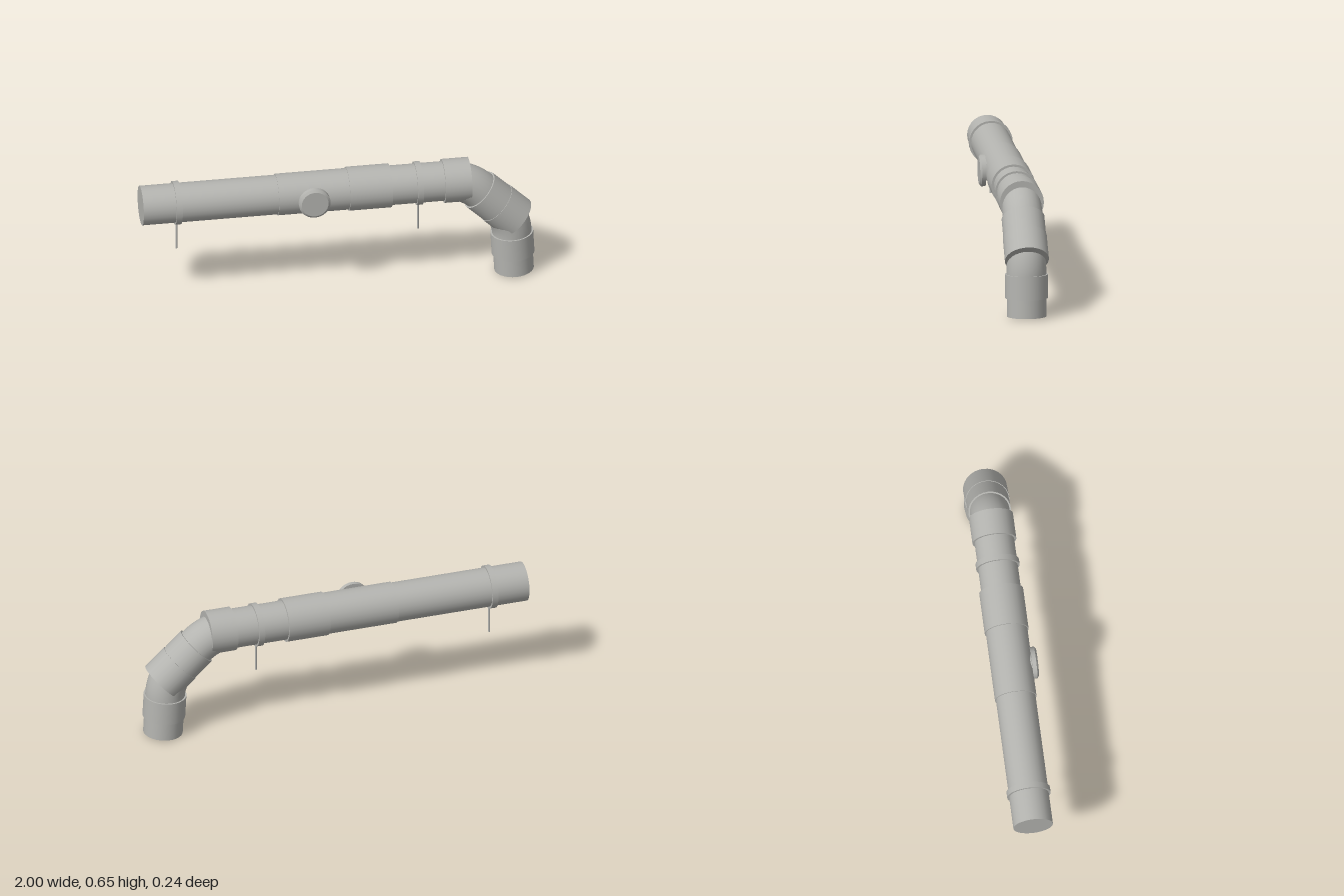
import * as THREE from 'three';

const SIDES = 28;
const PIPE_R = 0.1;
const BEND_R = 0.25;
const BEND_ANGLE = THREE.MathUtils.degToRad(43.5);

export function createModel() {
  const model = new THREE.Group();
  model.name = 'drainPipe';
  const plastic = new THREE.MeshStandardMaterial({ color: 0xb4b4b0 });
  plastic.name = 'greyPlastic';

  // All pipe centre lines lie in one plane
  const run = new THREE.Group();
  run.name = 'pipeRun';
  run.position.z = -0.01;
  model.add(run);

  const add = (name, geometry) => {
    const mesh = new THREE.Mesh(geometry, plastic);
    mesh.name = name;
    run.add(mesh);
    return mesh;
  };

  const ahead = (p, angle, d) =>
    new THREE.Vector2(p.x + Math.cos(angle) * d, p.y + Math.sin(angle) * d);

  // Straight capped piece starting at p and heading along angle; returns its end
  const straight = (name, p, angle, length, radius) => {
    const mesh = add(name, new THREE.CylinderGeometry(radius, radius, length, SIDES));
    const mid = ahead(p, angle, length / 2);
    mesh.position.set(mid.x, mid.y, 0);
    mesh.rotation.z = angle - Math.PI / 2;
    return ahead(p, angle, length);
  };

  // Downward bend starting at p; returns its end
  const bend = (name, p, angle) => {
    const centre = ahead(p, angle - Math.PI / 2, BEND_R);
    const mesh = add(name, new THREE.TorusGeometry(BEND_R, PIPE_R, SIDES, 12, BEND_ANGLE));
    mesh.position.set(centre.x, centre.y, 0);
    mesh.rotation.z = angle + Math.PI / 2 - BEND_ANGLE;
    return ahead(centre, angle + Math.PI / 2 - BEND_ANGLE, BEND_R);
  };

  // Horizontal run with access sleeve and coupling socket
  const axisY = 0.54;
  const at = (x) => new THREE.Vector2(x, axisY);
  straight('mainPipe', at(-1), 0, 1.55, PIPE_R);
  straight('accessSleeve', at(-0.313), 0, 0.37, 0.105);
  straight('couplingSocket', at(0.047), 0, 0.216, 0.111);

  // Pipe clamps with threaded rods
  for (const x of [-0.819, 0.406]) {
    straight('clampRing', at(x - 0.015), 0, 0.03, 0.11);
    straight('clampRod', new THREE.Vector2(x, 0.44), -Math.PI / 2, 0.162, 0.005);
  }

  // Two elbows: inlet socket, bend and outlet collar
  straight('upperElbowSocket', at(0.532), 0, 0.134, 0.111);
  let p = bend('upperElbowBend', at(0.547), 0);
  p = straight('upperElbowCollar', p, -BEND_ANGLE, 0.119, 0.108);
  straight('lowerElbowSocket', p, -BEND_ANGLE, 0.135, 0.111);
  p = bend('lowerElbowBend', p, -BEND_ANGLE);
  p = straight('lowerElbowCollar', p, -2 * BEND_ANGLE, 0.12, 0.108);
  straight('outletPipe', p, -2 * BEND_ANGLE, 0.094, PIPE_R);

  // Round inspection cap with a bevelled rim, on a short neck
  const profile = [[0, -0.05], [0.045, -0.05], [0.045, 0], [0.08, 0], [0.08, 0.021], [0.068, 0.03], [0, 0.03]];
  // Each profile span is lathed separately so that rims stay crisp
  const cap = new THREE.Group();
  cap.name = 'inspectionCap';
  for (let i = 0; i < profile.length - 1; i++) {
    const pts = [profile[i], profile[i + 1]].map(([r, h]) => new THREE.Vector2(r, h));
    const ring = new THREE.Mesh(new THREE.LatheGeometry(pts, 32), plastic);
    ring.name = 'inspectionCapFace';
    cap.add(ring);
  }
  cap.rotation.x = Math.PI / 2;
  cap.position.set(-0.136, axisY, 0.102);
  run.add(cap);

  return model;
}
